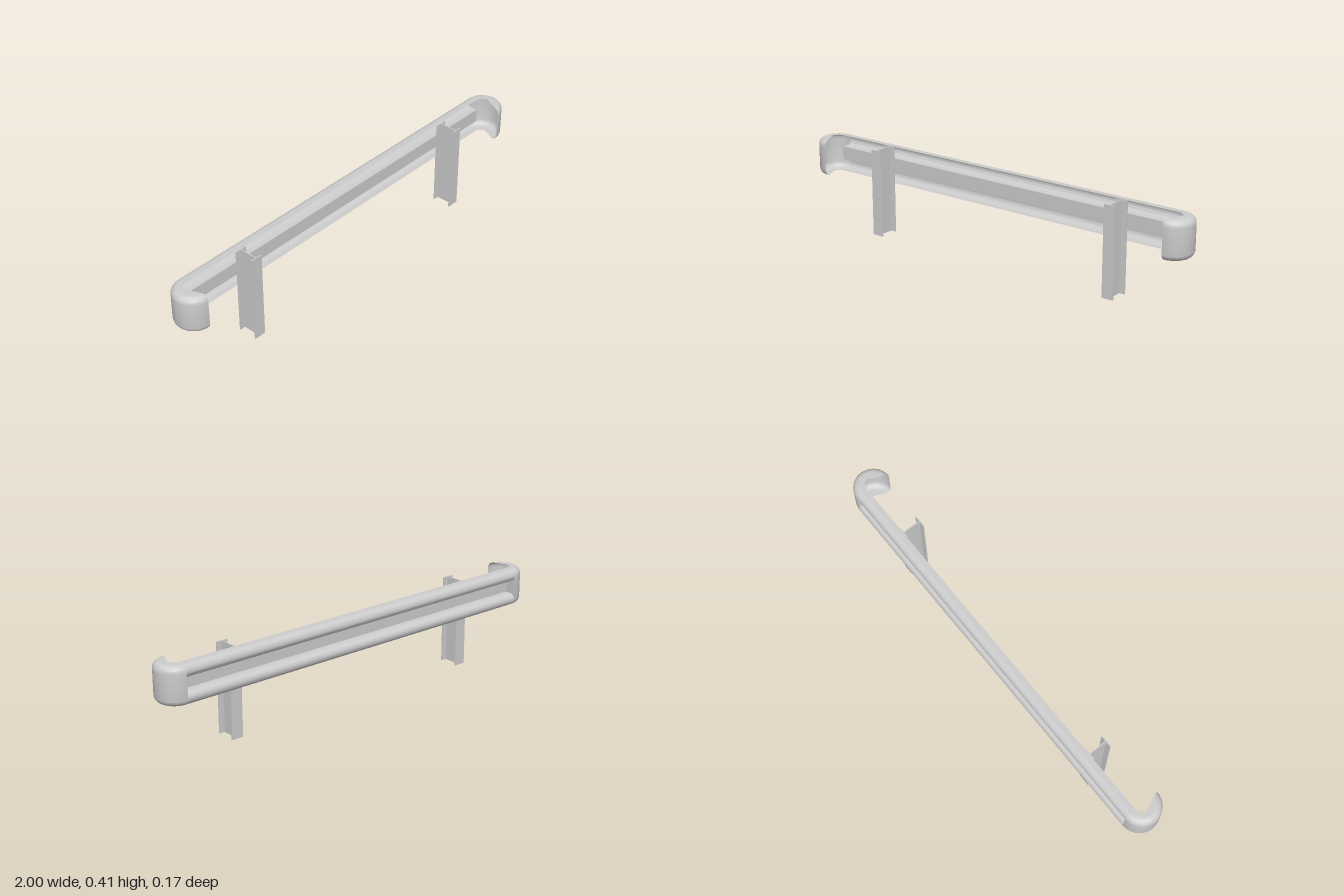
import * as THREE from 'three';
import { toCreasedNormals } from 'three/addons/utils/BufferGeometryUtils.js';

const MID = 0.321, H = 0.086;      // rail centre height and half height
const FRONT = 0.035, DEPTH = 0.087; // rail depth range, measured towards -z
const R = 0.03;                    // edge rounding
const END = 0.913;                 // where the straight rail meets the end caps

const material = new THREE.MeshStandardMaterial({ color: 0xcccccc, side: THREE.DoubleSide });

function add(parent, name, geometry, x = 0, y = 0, z = 0) {
  const mesh = new THREE.Mesh(geometry, material);
  mesh.name = name;
  mesh.position.set(x, y, z);
  parent.add(mesh);
  return mesh;
}

// Smooth sheet through rows of points
function loft(rows) {
  const n = rows[0].length, index = [];
  for (let i = 0; i < rows.length - 1; i++) {
    for (let j = 0; j < n - 1; j++) {
      const a = i * n + j, b = a + n;
      index.push(a, b, a + 1, b, b + 1, a + 1);
    }
  }
  const g = new THREE.BufferGeometry();
  g.setAttribute('position', new THREE.Float32BufferAttribute(rows.flat(2), 3));
  g.setIndex(index);
  return toCreasedNormals(g, 0.6);
}

// Upper half of the W profile as [depth, height above centre]
function upperProfile() {
  const pts = [[FRONT, H]];
  for (let i = 0; i <= 16; i++) {
    const a = Math.PI / 2 - (i / 16) * Math.PI * 0.85;
    pts.push([DEPTH - R + R * Math.cos(a), H - R + 0.9 * R * Math.sin(a) + 0.1 * R * Math.max(0, Math.sin(a))]);
  }
  pts.push([FRONT, 0.031]);
  return pts;
}

// C-shaped section of an end cap whose flange begins at radius r0
function capSection(r0) {
  const flange = [], corner = DEPTH - R;
  const radii = [r0];
  const start = Math.max(r0, corner);
  const a0 = Math.asin(Math.min(1, (start - corner) / R));
  for (let i = 0; i <= 10; i++) radii.push(corner + R * Math.sin(a0 + (Math.PI / 2 - a0) * i / 10));
  for (const r of radii) {
    const t = Math.max(0, r - corner);
    flange.push([r, H - R + Math.sqrt(Math.max(0, R * R - t * t))]);
  }
  return [...flange, ...flange.map(([r, y]) => [r, -y]).reverse()];
}

export function createModel() {
  const model = new THREE.Group();
  model.name = 'guardRail';

  // Straight W-shaped rail
  const half = upperProfile();
  const profile = [...half, ...half.map(([d, y]) => [d, -y]).reverse()];
  add(model, 'rail', loft([-END, END].map(x => profile.map(([d, y]) => [x, MID + y, -d]))));

  // Outline of the plate closing the valley at each rail end
  const inner = half.filter(([, y], i) => i > 8 && y <= H - R);
  const valley = [...inner, ...inner.map(([d, y]) => [d, -y]).reverse()];
  const plate = new THREE.Shape(valley.map(([d, y]) => new THREE.Vector2(d, y)));

  for (const side of [-1, 1]) {
    const end = new THREE.Group();
    end.name = side > 0 ? 'leftEnd' : 'rightEnd';
    model.add(end);

    // Hook-shaped cap; its flange is cut off along a straight slanted line
    const rows = [];
    for (let i = 0; i <= 48; i++) {
      const a = -Math.PI / 2 + Math.PI * i / 48;
      const c = Math.cos(a), s = Math.sin(a);
      const r0 = a < 0 ? 0.034 : 0.0292 / (0.912 * c + 0.409 * s);
      rows.push(capSection(r0).map(([r, y]) => [side * (END + r * c), MID + y, r * s]));
    }
    add(end, 'endCap', loft(rows));
    add(end, 'valleyPlate', new THREE.ShapeGeometry(plate), side * END, MID, 0).rotation.y = Math.PI / 2;
  }

  // I-beam posts with bolts through the valley
  const postHeight = 0.405, t = 0.005, back = -0.03, front = 0.058, width = 0.055;
  for (const x of [-0.62, 0.645]) {
    const post = new THREE.Group();
    post.name = 'post';
    post.position.x = x;
    model.add(post);
    const flange = new THREE.BoxGeometry(width, postHeight, t);
    add(post, 'frontFlange', flange, 0, postHeight / 2, front - t / 2);
    add(post, 'backFlange', flange, 0, postHeight / 2, back - t / 2);
    add(post, 'web', new THREE.BoxGeometry(t, postHeight, front - back), 0, postHeight / 2, (front + back) / 2);
    for (const bx of [-0.015, 0.015]) {
      for (const by of [-0.016, 0.016]) {
        add(post, 'bolt', new THREE.CylinderGeometry(0.004, 0.004, 0.006, 12), bx, MID + by, -FRONT - 0.002).rotation.x = Math.PI / 2;
      }
    }
  }
  return model;
}
